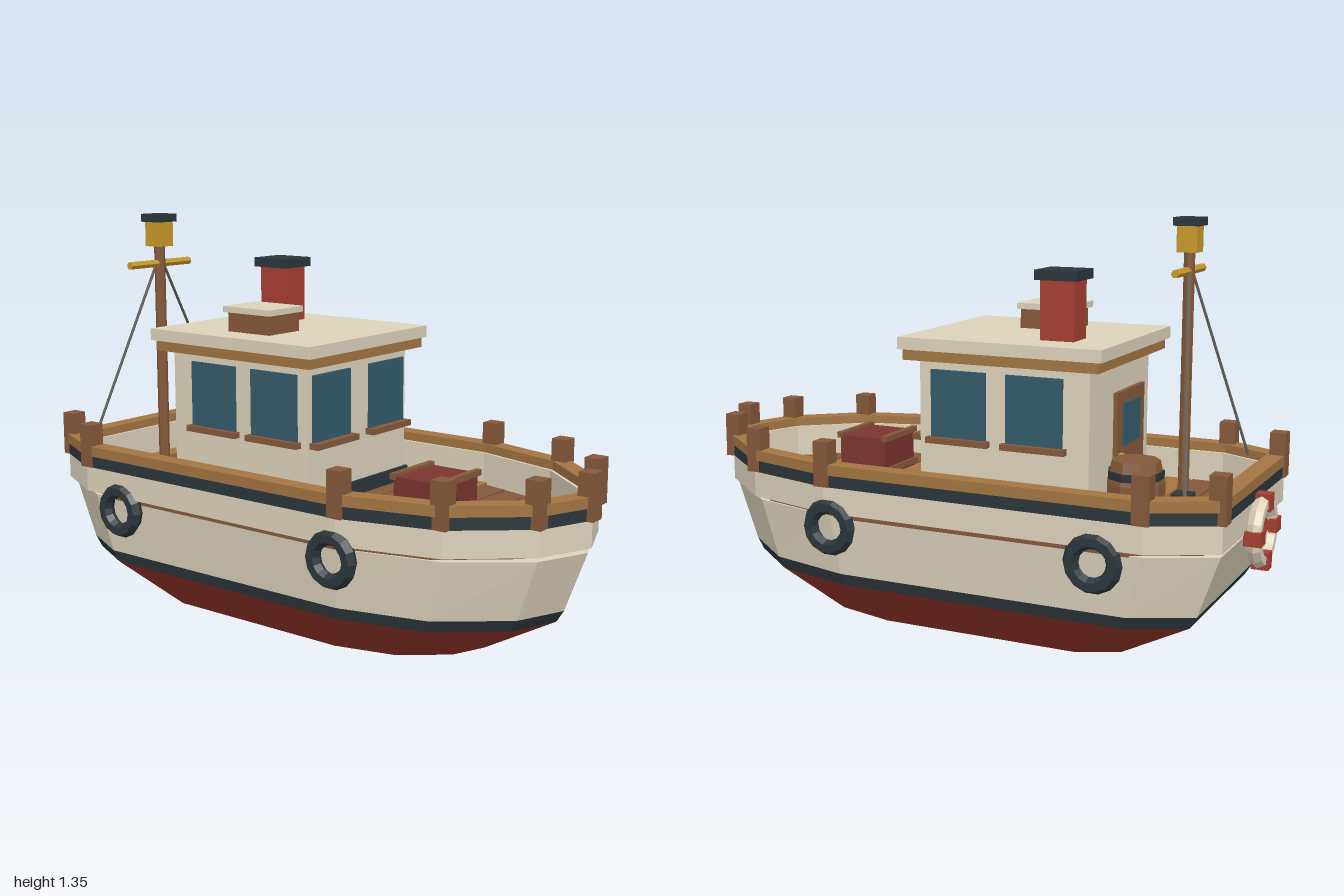
import * as THREE from 'three';

const mat = (color) => new THREE.MeshStandardMaterial({ color, flatShading: true, side: THREE.DoubleSide });

export function createModel() {
  const boat = new THREE.Group();
  boat.name = 'boat';
  const cream = mat(0xddd3bc), hullRed = mat(0x8f3429), red = mat(0xa83f32), dark = mat(0x2b363b),
    glass = mat(0x355b6c), brown = mat(0x85593a), tan = mat(0xa37542), yellow = mat(0xc99a2c),
    crateRed = mat(0x7a3530), rope = mat(0x66625a);

  const add = (name, geo, material, x = 0, y = 0, z = 0, parent = boat) => {
    const m = new THREE.Mesh(geo, material);
    m.name = name;
    m.position.set(x, y, z);
    parent.add(m);
    return m;
  };
  // Box given by its low and high corner
  const box = (name, material, [x0, x1], [y0, y1], [z0, z1], parent = boat) =>
    add(name, new THREE.BoxGeometry(x1 - x0, y1 - y0, z1 - z0), material,
      (x0 + x1) / 2, (y0 + y1) / 2, (z0 + z1) / 2, parent);
  // Straight rod between two points
  const rod = (name, material, a, b, r, sides = 6) => {
    const p = new THREE.Vector3(...a), q = new THREE.Vector3(...b), d = q.clone().sub(p);
    const m = add(name, new THREE.CylinderGeometry(r, r, d.length(), sides), material);
    m.position.copy(p).add(q).multiplyScalar(0.5);
    m.quaternion.setFromUnitVectors(new THREE.Vector3(0, 1, 0), d.normalize());
    return m;
  };

  // Plan outline of the hull, [x, z], from the bow round the left side and back
  const half = [[0, 0.99], [0.19, 0.915], [0.38, 0.69], [0.468, 0.36], [0.468, -0.74], [0.36, -0.955]];
  const outline = [...half, ...half.slice(1).reverse().map(([x, z]) => [-x, z])];
  const n = outline.length;

  // Outline moved inwards by d
  const inset = (d) => outline.map(([x, z], i) => {
    const normal = (p, q) => {
      const dx = q[0] - p[0], dz = q[1] - p[1], l = Math.hypot(dx, dz);
      return [-dz / l, dx / l];
    };
    const a = normal(outline[(i + n - 1) % n], outline[i]), b = normal(outline[i], outline[(i + 1) % n]);
    const k = d / (1 + a[0] * b[0] + a[1] * b[1]);
    return [x - (a[0] + b[0]) * k, z - (a[1] + b[1]) * k];
  });
  // Upright slab from plan points, with an optional hole
  const slab = (name, material, pts, hole, y0, y1) => {
    const flat = (list) => list.map(([x, z]) => new THREE.Vector2(x, -z));
    const shape = new THREE.Shape(flat(pts));
    if (hole) shape.holes.push(new THREE.Path(flat(hole)));
    const geo = new THREE.ExtrudeGeometry(shape, { depth: y1 - y0, bevelEnabled: false });
    return add(name, geo.rotateX(-Math.PI / 2), material, 0, y0, 0);
  };
  // Closed band of hull between two levels [y, x scale, z scale]
  const band = (name, material, lo, hi) => {
    const ring = ([y, sx, sz]) => outline.map(([x, z]) => [x * sx, y, z * sz]);
    const a = ring(lo), b = ring(hi), pos = [];
    for (let i = 0; i < n; i++) {
      const j = (i + 1) % n;
      pos.push(...a[i], ...a[j], ...b[j], ...a[i], ...b[j], ...b[i]);
      if (i > 0 && j > 0) pos.push(...a[0], ...a[j], ...a[i], ...b[0], ...b[i], ...b[j]);
    }
    const geo = new THREE.BufferGeometry();
    geo.setAttribute('position', new THREE.Float32BufferAttribute(pos, 3));
    geo.computeVertexNormals();
    return add(name, geo, material);
  };

  // Hull, bottom to rail
  const keel = [0, 0.61, 0.62], chine = [0.145, 0.86, 0.88], water = [0.185, 0.88, 0.905], top = [0.385, 0.92, 0.98];
  band('hullBottom', hullRed, keel, chine);
  band('waterlineBand', dark, chine, water);
  band('hullSide', cream, water, top);
  band('rubbingStrake', brown, [0.38, 0.922, 0.925], [0.41, 0.922, 0.925]);
  slab('bulwark', cream, inset(0.008), inset(0.07), 0.402, 0.535);
  slab('bulwarkBand', dark, inset(0.003), inset(0.05), 0.49, 0.532);
  slab('rail', tan, inset(0), inset(0.06), 0.53, 0.565);
  slab('deckBase', brown, inset(0.05), null, 0.402, 0.424);

  // Deck planks, narrowing towards the bow
  const bowWidths = [0.35, 0.285, 0.225, 0.165, 0.105];
  for (let i = 0; i < 18; i++) {
    const z = -0.905 + i * 0.0985;
    const w = i >= 13 ? bowWidths[i - 13] : i === 0 ? 0.33 : i === 1 ? 0.36 : 0.4;
    box('deckPlank', i % 3 === 0 ? tan : brown, [-w, w], [0.41, 0.432], [z, z + 0.09]);
  }

  // Rail posts
  const posts = [[0, 0.97], [0.18, 0.895], [0.357, 0.68], [0.442, 0.36], [0.442, -0.73], [0.34, -0.932]];
  for (const [px, z] of posts)
    for (const x of px ? [px, -px] : [0])
      box('railPost', brown, [x - 0.028, x + 0.028], [0.49, 0.64], [z - 0.027, z + 0.027]);

  // Tyre fenders
  for (const s of [-1, 1])
    for (const z of [0.34, -0.58])
      add('tyreFender', new THREE.TorusGeometry(0.07, 0.026, 6, 14), dark, s * 0.455, 0.355, z).rotation.y = Math.PI / 2;

  // Life ring on the stern
  const lifeRing = new THREE.Group();
  lifeRing.name = 'lifeRing';
  lifeRing.position.set(0, 0.39, -0.972);
  boat.add(lifeRing);
  add('ring', new THREE.TorusGeometry(0.095, 0.025, 6, 16), cream, 0, 0, 0, lifeRing);
  for (let i = 0; i < 4; i++) {
    const a = i * Math.PI / 2;
    add('ringBand', new THREE.BoxGeometry(0.056, 0.045, 0.056), red,
      0.095 * Math.cos(a), 0.095 * Math.sin(a), 0, lifeRing).rotation.z = a;
  }

  // Cabin and roof
  box('cabin', cream, [-0.267, 0.267], [0.42, 0.91], [-0.49, 0.1]);
  box('cabinBase', dark, [-0.277, 0.277], [0.425, 0.48], [-0.5, 0.11]);
  box('roofTrim', tan, [-0.31, 0.31], [0.9, 0.937], [-0.533, 0.14]);
  box('roof', cream, [-0.322, 0.322], [0.935, 0.975], [-0.547, 0.153]);
  for (const s of [-1, 1]) {
    const cx = s * 0.15;
    box('frontWindow', glass, [cx - 0.097, cx + 0.097], [0.645, 0.87], [0.09, 0.109]);
    box('frontSill', brown, [cx - 0.11, cx + 0.11], [0.63, 0.65], [0.09, 0.135]);
    for (const z of [-0.04, -0.305]) {
      const wx = s * 0.267, sx = s * 0.275;
      box('sideWindow', glass, [wx - 0.009, wx + 0.009], [0.645, 0.87], [z - 0.097, z + 0.097]);
      box('sideSill', brown, [sx - 0.018, sx + 0.018], [0.63, 0.65], [z - 0.11, z + 0.11]);
    }
  }

  // Back door
  box('door', brown, [-0.19, 0.06], [0.44, 0.8], [-0.505, -0.48]);
  box('doorWindow', glass, [-0.14, 0.015], [0.62, 0.76], [-0.511, -0.49]);
  box('doorHandle', yellow, [0.025, 0.045], [0.56, 0.6], [-0.52, -0.49]);

  // Roof hatch and funnel
  box('hatch', brown, [-0.21, -0.055], [0.97, 1.04], [-0.29, -0.11]);
  box('hatchLid', cream, [-0.22, -0.045], [1.04, 1.06], [-0.305, -0.1]);
  box('funnel', red, [0.092, 0.195], [0.97, 1.17], [-0.405, -0.29]);
  box('funnelCap', dark, [0.075, 0.21], [1.165, 1.197], [-0.42, -0.275]);

  // Mast, yard, lantern and stays
  const mx = -0.157, mz = -0.66;
  rod('mast', brown, [mx, 0.42, mz], [mx, 1.25, mz], 0.019, 8);
  rod('yard', yellow, [-0.302, 1.18, mz], [-0.012, 1.18, mz], 0.014);
  box('lantern', yellow, [mx - 0.034, mx + 0.034], [1.24, 1.33], [mz - 0.034, mz + 0.034]);
  box('lanternCap', dark, [mx - 0.044, mx + 0.044], [1.325, 1.352], [mz - 0.044, mz + 0.044]);
  for (const s of [-1, 1]) rod('stay', rope, [mx, 1.21, mz], [s * 0.345, 0.55, -0.825], 0.005, 5);

  // Barrel with hoops
  const profile = [[0, 0], [0.074, 0], [0.092, 0.07], [0.092, 0.13], [0.076, 0.2], [0, 0.2]];
  add('barrel', new THREE.LatheGeometry(profile.map((p) => new THREE.Vector2(...p)), 9), brown, 0.23, 0.432, -0.63);
  for (const [y, r] of [[0.05, 0.09], [0.155, 0.089]])
    add('barrelHoop', new THREE.CylinderGeometry(r, r, 0.025, 9), dark, 0.23, 0.432 + y, -0.63);

  // Crate with battens at both ends
  box('crate', crateRed, [-0.172, 0.037], [0.43, 0.565], [0.37, 0.55]);
  for (const z of [0.36, 0.54])
    for (const y of [0.44, 0.556]) box('crateBatten', brown, [-0.18, 0.045], [y, y + 0.02], [z, z + 0.02]);

  // Mooring bitts
  for (const [x, z] of [[-0.23, 0.6], [0.22, -0.78]]) {
    box('bittBase', dark, [x - 0.035, x + 0.035], [0.43, 0.445], [z - 0.04, z + 0.04]);
    rod('bittPost', dark, [x, 0.43, z], [x, 0.53, z], 0.024, 8);
    rod('bittBar', dark, [x - 0.05, 0.505, z], [x + 0.05, 0.505, z], 0.014);
    box('bittCap', dark, [x - 0.03, x + 0.03], [0.525, 0.54], [z - 0.03, z + 0.03]);
  }
  return boat;
}
